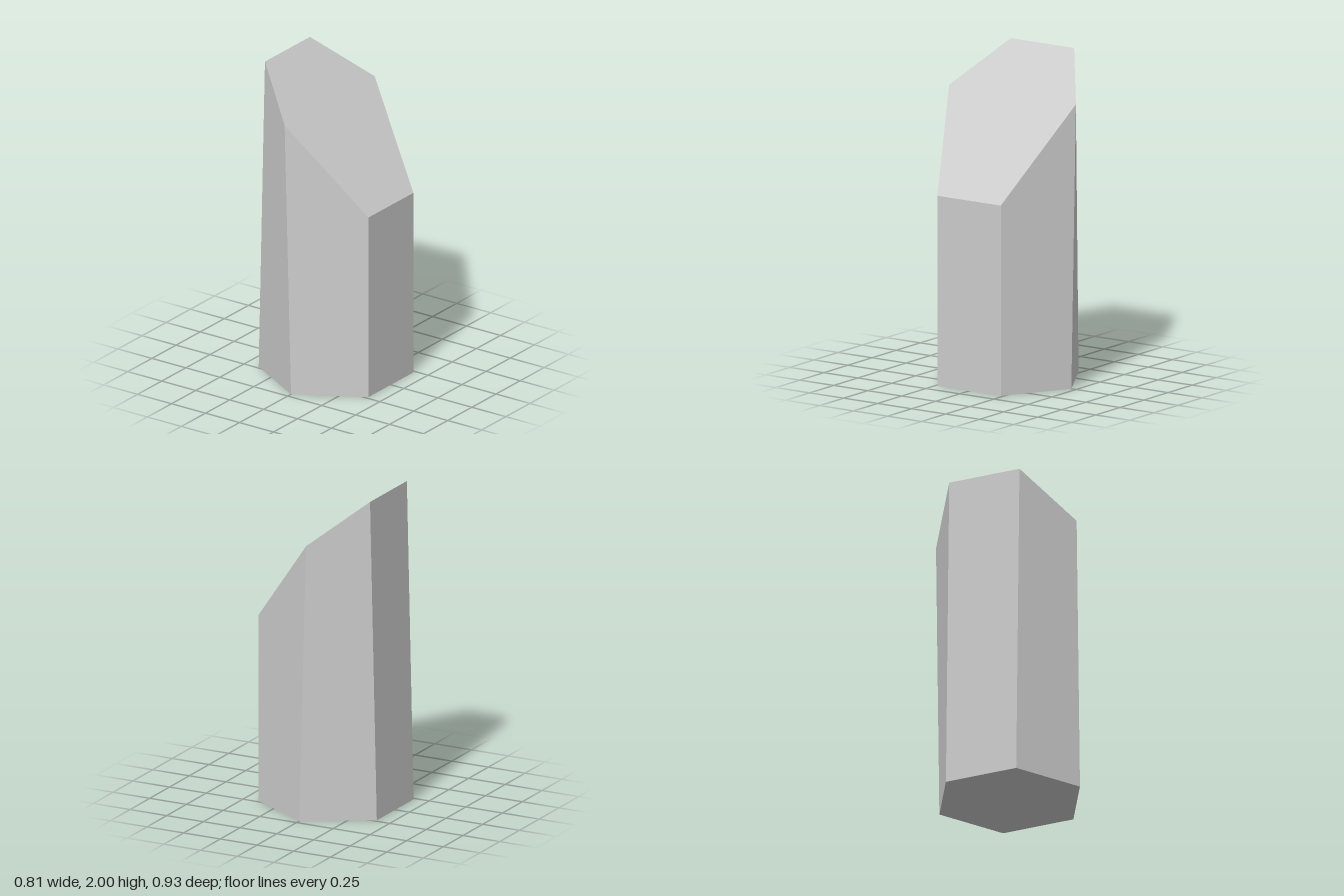
import * as THREE from 'three';

// Faceted surface: every polygon is fanned from its first corner and shares one normal
function facets(polygons) {
  const positions = [], normals = [];
  for (const poly of polygons) {
    const normal = new THREE.Vector3();
    poly.forEach((p, i) => normal.add(p.clone().cross(poly[(i + 1) % poly.length])));
    normal.normalize();
    for (let i = 1; i < poly.length - 1; i++) {
      for (const p of [poly[0], poly[i], poly[i + 1]]) {
        positions.push(p.x, p.y, p.z);
        normals.push(normal.x, normal.y, normal.z);
      }
    }
  }
  const geometry = new THREE.BufferGeometry();
  geometry.setAttribute('position', new THREE.Float32BufferAttribute(positions, 3));
  geometry.setAttribute('normal', new THREE.Float32BufferAttribute(normals, 3));
  return geometry;
}

export function createModel() {
  const group = new THREE.Group();
  group.name = 'hexagonalColumn';
  const material = new THREE.MeshStandardMaterial({ color: 0xcccccc });
  const sides = 6, radius = 0.466;

  // Regular foot, and a slanted top whose high side leans inward
  const bottom = [], top = [];
  const heights = [1.74, 1.17, 1.17, 1.74, 2, 2];
  const lean = [-0.047, 0, 0, -0.047, 0.046, 0.046];
  for (let i = 0; i < sides; i++) {
    const a = (i / sides) * Math.PI * 2;
    const x = Math.sin(a) * radius, z = Math.cos(a) * radius;
    bottom.push(new THREE.Vector3(x, 0, z));
    top.push(new THREE.Vector3(x + lean[i], heights[i], z));
  }

  const walls = bottom.map((b, i) => {
    const j = (i + 1) % sides;
    return [bottom[j], top[j], top[i], b];
  });
  const slantedTop = [...top.slice(1), top[0]];
  const base = [...bottom].reverse();

  const parts = { walls, slantedTop: [slantedTop], base: [base] };
  for (const [name, polygons] of Object.entries(parts)) {
    const mesh = new THREE.Mesh(facets(polygons), material);
    mesh.name = name;
    group.add(mesh);
  }
  return group;
}
